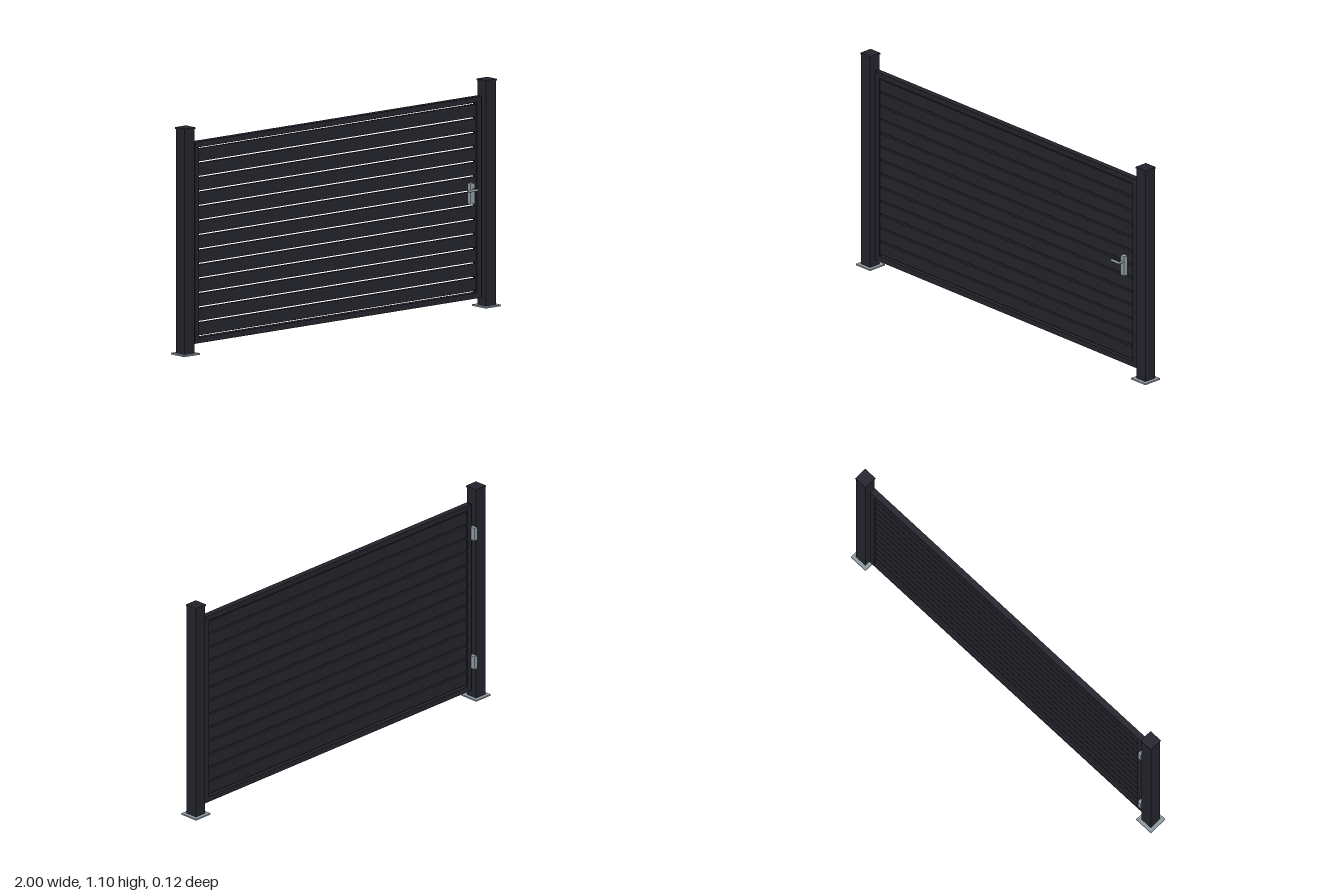
import * as THREE from 'three';

export function createModel() {
  const gate = new THREE.Group();
  gate.name = 'gate';
  const dark = new THREE.MeshStandardMaterial({ color: 0x23232c });
  dark.name = 'anthracite';
  const steel = new THREE.MeshStandardMaterial({ color: 0x8f9ba1 });
  steel.name = 'steel';

  const Z = -0.009; // centre plane of posts and leaf

  const add = (name, geometry, material, x, y, z) => {
    const mesh = new THREE.Mesh(geometry, material);
    mesh.name = name;
    mesh.position.set(x, y, z);
    gate.add(mesh);
    return mesh;
  };
  // Box given by its limits on each axis
  const box = (name, material, [x0, x1], [y0, y1], [z0, z1]) =>
    add(name, new THREE.BoxGeometry(x1 - x0, y1 - y0, z1 - z0), material,
      (x0 + x1) / 2, (y0 + y1) / 2, (z0 + z1) / 2);
  const around = (c, half) => [c - half, c + half];

  // Posts with base plates and caps
  for (const [side, s] of [['left', 1], ['right', -1]]) {
    const x = s * 0.951;
    box(side + 'BasePlate', steel, around(x, 0.049), [0, 0.007], around(Z, 0.049));
    box(side + 'Post', dark, around(x, 0.031), [0.007, 1.094], around(Z, 0.031));
    box(side + 'PostCap', dark, around(x, 0.034), [1.094, 1.102], around(Z, 0.034));
  }

  // Leaf frame
  const W = 0.904, B = 0.048, T = 1.025, R = 0.027;
  const depth = around(Z, 0.015);
  box('frameBottom', dark, [-W, W], [B, B + R], depth);
  box('frameTop', dark, [-W, W], [T - R, T], depth);
  box('frameRight', dark, [-W, -W + R], [B + R, T - R], depth);
  box('frameLeft', dark, [W - R, W], [B + R, T - R], depth);

  // Horizontal slats with equal gaps
  const count = 13, gap = 0.009;
  const slat = (T - B - 2 * R - (count + 1) * gap) / count;
  for (let i = 0; i < count; i++) {
    const y = B + R + gap + i * (slat + gap);
    box('slat' + (i + 1), dark, [-W + R, W - R], [y, y + slat], around(Z, 0.0075));
  }

  // Hinges behind the right post gap
  for (const [name, y] of [['lowerHinge', 0.198], ['upperHinge', 0.872]]) {
    box(name, steel, [-0.921, -0.902], around(y, 0.033), [-0.047, -0.014]);
  }

  // Lock box with lever handle
  box('lockBox', steel, [0.817, 0.843], [0.514, 0.614], [0.006, 0.029]);
  const spindle = add('handleSpindle', new THREE.CylinderGeometry(0.006, 0.006, 0.025, 20),
    steel, 0.83, 0.584, 0.04);
  spindle.rotation.x = Math.PI / 2;
  const lever = add('handleLever', new THREE.CylinderGeometry(0.006, 0.006, 0.058, 20),
    steel, 0.808, 0.584, 0.052);
  lever.rotation.z = Math.PI / 2;

  return gate;
}
